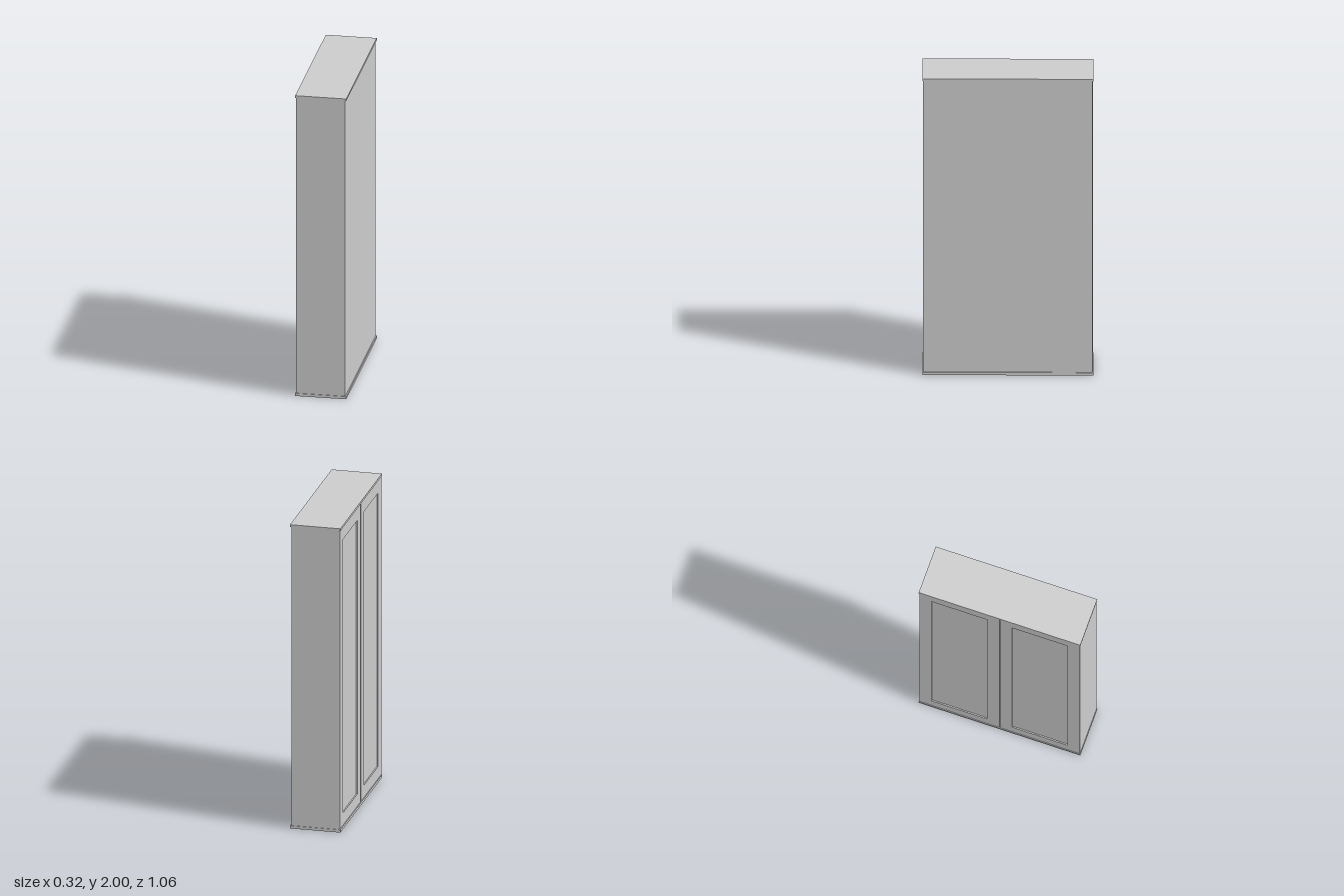
import * as THREE from 'three';

const material = new THREE.MeshStandardMaterial({ color: 0xcccccc });

function box(name, x0, x1, y0, y1, z0, z1) {
  const mesh = new THREE.Mesh(new THREE.BoxGeometry(x1 - x0, y1 - y0, z1 - z0), material);
  mesh.position.set((x0 + x1) / 2, (y0 + y1) / 2, (z0 + z1) / 2);
  mesh.name = name;
  return mesh;
}

export function createModel() {
  const group = new THREE.Group();
  group.name = 'wardrobe';
  const base = 0.018, top = 1.985, halfX = 0.161, halfZ = 0.531, sideZ = 0.527;
  const doorFront = -0.158, doorBack = -0.149;

  // Carcass between two slightly overhanging slabs
  group.add(box('carcass', doorBack, 0.154, base, top, -sideZ, sideZ));
  group.add(box('bottomSlab', -halfX, halfX, 0, base, -halfZ, halfZ));
  group.add(box('topSlab', -halfX, halfX, top, 2, -halfZ, halfZ));

  // Pair of framed doors on the -x side, with recessed panels
  const stile = 0.08, gap = 0.002;
  for (const side of [-1, 1]) {
    const door = new THREE.Group();
    door.name = side > 0 ? 'leftDoor' : 'rightDoor';
    const y0 = base + 0.003, y1 = top - 0.003;
    const w = sideZ - gap, h = y1 - y0;
    const frame = new THREE.Shape();
    frame.moveTo(-w / 2, 0).lineTo(w / 2, 0).lineTo(w / 2, h).lineTo(-w / 2, h).closePath();
    const hole = new THREE.Path();
    const a = w / 2 - stile;
    hole.moveTo(-a, stile).lineTo(-a, h - stile).lineTo(a, h - stile).lineTo(a, stile).closePath();
    frame.holes.push(hole);
    const geometry = new THREE.ExtrudeGeometry(frame, { depth: doorBack - doorFront, bevelEnabled: false });
    const mesh = new THREE.Mesh(geometry, material);
    mesh.name = 'doorFrame';
    mesh.rotation.y = -Math.PI / 2;
    mesh.position.set(doorBack, y0, side * (gap + w / 2));
    door.add(mesh);
    const zc = side * (gap + w / 2);
    door.add(box('doorPanel', doorBack - 0.001, doorBack + 0.002, y0 + stile, y1 - stile, zc - a, zc + a));
    group.add(door);
  }
  return group;
}
